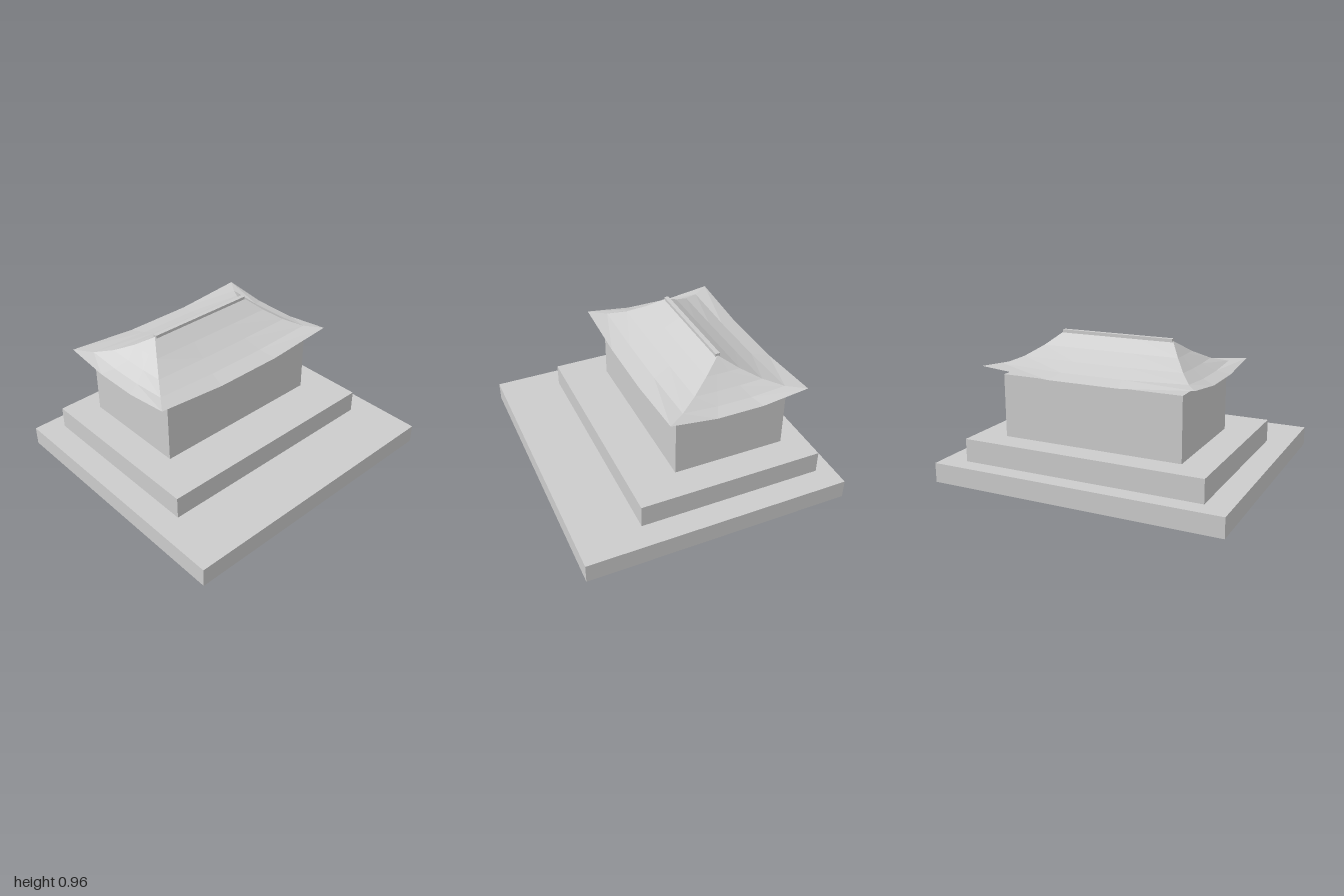
import * as THREE from 'three';

const stone = new THREE.MeshStandardMaterial({ color: 0xcccccc, side: THREE.DoubleSide, flatShading: true });
stone.name = 'lightGrey';

// Box given by its extents
function block(name, x, y0, y1, z0, z1) {
  const mesh = new THREE.Mesh(new THREE.BoxGeometry(2 * x, y1 - y0, z1 - z0), stone);
  mesh.name = name;
  mesh.position.set(0, (y0 + y1) / 2, (z0 + z1) / 2);
  return mesh;
}

// Hipped roof shell: concave slopes whose eaves lift at the corners
function roofGeometry() {
  const ROWS = 4, COLS = 3;
  const ridgeX = 0.395, eaveX = 0.73, eaveZ = 0.476;
  const corners = [[-1, 1], [1, 1], [1, -1], [-1, -1]];
  const point = (side, row, col) => {
    const f = row / ROWS, u = col / COLS;
    const a = corners[side], b = corners[(side + 1) % 4];
    const halfX = ridgeX + (eaveX - ridgeX) * f, halfZ = eaveZ * f;
    const lift = (col === 0 || col === COLS) ? 0.041 * f ** 3 : 0;
    return [
      (a[0] + (b[0] - a[0]) * u) * halfX,
      0.73 + 0.215 * (1 - f) ** 1.6 + lift,
      (a[1] + (b[1] - a[1]) * u) * halfZ,
    ];
  };
  const pos = [];
  for (let s = 0; s < 4; s++)
    for (let r = 0; r < ROWS; r++)
      for (let c = 0; c < COLS; c++) {
        const p = point(s, r, c), q = point(s, r + 1, c);
        const t = point(s, r + 1, c + 1), v = point(s, r, c + 1);
        pos.push(...p, ...q, ...t);
        // the end slopes start from a single point on the ridge
        if (r > 0 || s % 2 === 0) pos.push(...p, ...t, ...v);
      }
  const geo = new THREE.BufferGeometry();
  geo.setAttribute('position', new THREE.Float32BufferAttribute(pos, 3));
  geo.computeVertexNormals();
  return geo;
}

export function createModel() {
  const group = new THREE.Group();
  group.name = 'hall';

  // Stepped platform and hall body, set towards the back
  group.add(block('lowerPlatform', 1, 0, 0.132, -0.907, 0.907));
  group.add(block('upperPlatform', 0.832, 0.132, 0.287, -0.79, 0.478));
  group.add(block('hallBody', 0.623, 0.287, 0.709, -0.624, 0.155));

  // Roof and ridge beam
  const roof = new THREE.Mesh(roofGeometry(), stone);
  roof.name = 'roof';
  roof.position.z = -0.235;
  group.add(roof);
  group.add(block('ridgeBeam', 0.395, 0.938, 0.959, -0.25, -0.22));
  return group;
}
